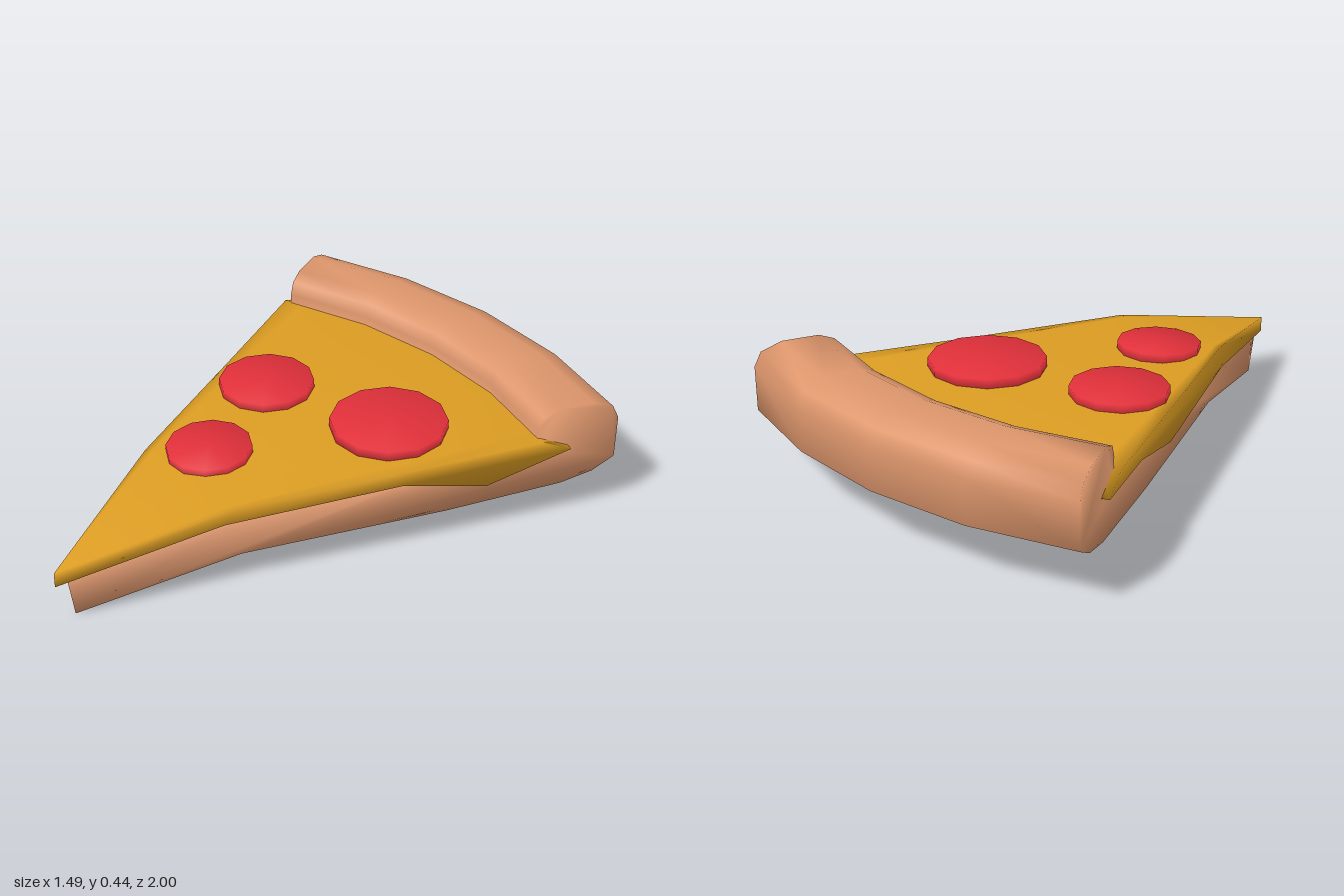
import * as THREE from 'three';
import { mergeVertices } from 'three/addons/utils/BufferGeometryUtils.js';

const HALF_ANGLE = 0.3975;

// Drop split normals so the whole part shades smoothly
function smooth(geometry) {
  geometry.deleteAttribute('uv');
  geometry.deleteAttribute('normal');
  const merged = mergeVertices(geometry, 1e-4);
  merged.computeVertexNormals();
  return merged;
}

// Sweep a closed (radius, height) profile around the slice's tip.
// profileAt(t) gives the counter-clockwise profile for t from -1 (right) to 1 (left).
function wedge(apexZ, columns, profileAt) {
  const positions = [], index = [];
  const profiles = columns.map(profileAt);
  const n = profiles[0].length;
  columns.forEach((t, j) => {
    const a = t * HALF_ANGLE;
    for (const [r, y] of profiles[j]) {
      positions.push(r * Math.sin(a), y, apexZ - r * Math.cos(a));
    }
  });
  const last = columns.length - 1;
  for (let j = 0; j < last; j++) {
    for (let i = 0; i < n; i++) {
      const k = (i + 1) % n;
      const a = j * n + i, b = j * n + k, c = b + n, d = a + n;
      index.push(a, b, c, a, c, d);
    }
  }
  // Cut faces at both ends
  const cap = (j, flip) => {
    const contour = profiles[j].map(([r, y]) => new THREE.Vector2(r, y));
    for (const [a, b, c] of THREE.ShapeUtils.triangulateShape(contour, [])) {
      const o = j * n;
      if (flip) index.push(o + a, o + c, o + b);
      else index.push(o + a, o + b, o + c);
    }
  };
  cap(0, true);
  cap(last, false);
  const geometry = new THREE.BufferGeometry();
  geometry.setAttribute('position', new THREE.Float32BufferAttribute(positions, 3));
  geometry.setIndex(index);
  return smooth(geometry);
}

export function createModel() {
  const group = new THREE.Group();
  const material = (name, color) => {
    const m = new THREE.MeshStandardMaterial({ color });
    m.name = name;
    return m;
  };
  const dough = material('baked dough', 0xdd966c);
  const cheese = material('melted cheese', 0xdb9c22);
  const salami = material('red salami', 0xe0303a);

  const add = (name, geometry, mat) => {
    const mesh = new THREE.Mesh(geometry, mat);
    mesh.name = name;
    group.add(mesh);
    return mesh;
  };

  // Dough base with the raised rounded crust at the back
  add('doughAndCrust', wedge(0.93, [-1, -0.5, 0, 0.5, 1], (t) => [
    [0, 0], [0.8 - 0.23 * Math.abs(t), 0.105], [1.3, 0.11], [1.73, 0.13],
    [1.85, 0.155], [1.93, 0.2], [1.93, 0.36], [1.905, 0.41],
    [1.83, 0.437], [1.7, 0.437], [1.645, 0.415], [1.627, 0.37],
    [1.63, 0.29], [1.2, 0.27], [0.57, 0.25], [-0.02, 0.15],
  ]), dough);

  // Cheese sheet, with drips hanging over each cut side
  const drips = {
    '-1': [0.22, 0.2, 0.275],
    '0': [0.25, 0.27, 0.28],
    '1': [0.255, 0.27, 0.2],
  };
  add('cheese', wedge(1, [-1, -0.9, -0.5, 0, 0.5, 0.9, 1], (t) => {
    const [a, b, c] = drips[Math.trunc(t) || 0];
    return [
      [0, 0.145], [0.57, a], [1.19, b], [1.5, c], [1.81, 0.285],
      [1.7, 0.335], [1.19, 0.321], [0.6, 0.309], [0, 0.2],
    ];
  }), cheese);

  // Salami discs: x, z, radius, height of the top, forward tilt
  const discs = [
    [0.23, -0.255, 0.205, 0.358, 0.015],
    [-0.255, -0.12, 0.17, 0.35, 0.02],
    [-0.08, 0.29, 0.148, 0.338, 0.05],
  ];
  for (const [x, z, radius, top, tilt] of discs) {
    const geometry = new THREE.CylinderGeometry(radius, radius, 0.05, 12);
    geometry.rotateY(Math.PI / 12);
    const disc = add('salamiDisc', smooth(geometry), salami);
    disc.position.set(x, top - 0.025, z);
    disc.rotation.x = tilt;
  }
  return group;
}
